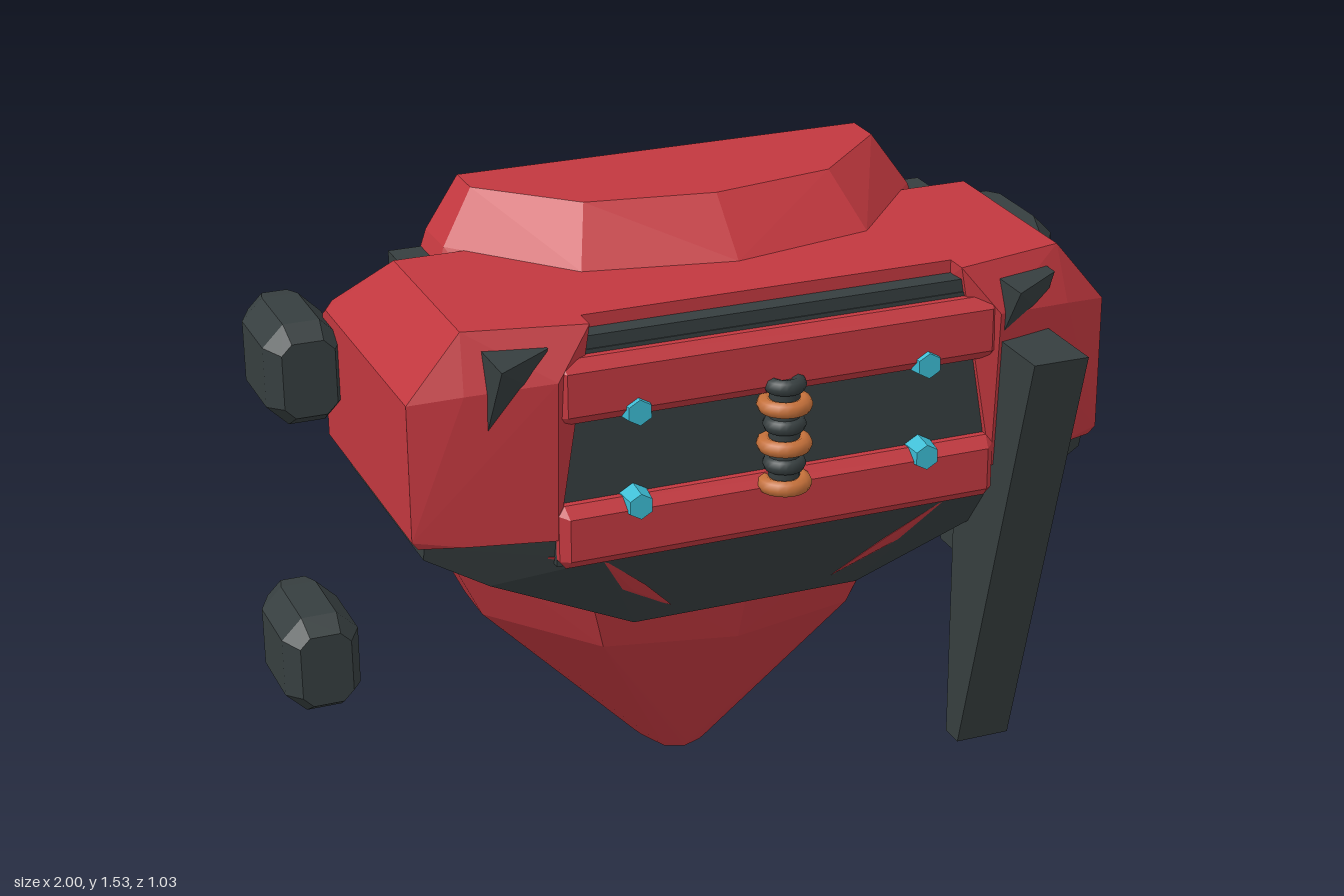
import * as THREE from 'three';
import { ConvexGeometry } from 'three/addons/geometries/ConvexGeometry.js';

const paint = (name, color) => Object.assign(new THREE.MeshStandardMaterial({ color }), { name });

export function createModel() {
  const red = paint('red armour', 0xc2383f);
  const dark = paint('dark grey', 0x363e3f);
  const cyan = paint('cyan bolts', 0x3cbcd4);
  const copper = paint('copper rings', 0xc4703a);

  const model = new THREE.Group();
  const add = (name, geometry, material, x = 0, y = 0, z = 0) => {
    const mesh = new THREE.Mesh(geometry, material);
    mesh.name = name;
    mesh.position.set(x, y, z);
    model.add(mesh);
    return mesh;
  };
  // Faceted solid around a few corner points
  const hull = (points) => new ConvexGeometry(points.map((p) => new THREE.Vector3(...p)));
  const flip = (points, s) => points.map(([x, y, z]) => [x * s, y, z]);
  const both = (points) => [...points, ...flip(points, -1)];

  // Shield-shaped body: D-shaped sections [height, half width, front z]
  const back = -0.373;
  const sections = [
    [0, 0.08, -0.24], [0.02, 0.1, -0.225], [0.47, 0.52, 0.1], [0.78, 0.67, 0.22],
    [1.15, 0.67, 0.25], [1.41, 0.58, 0.1], [1.53, 0.5, -0.03],
  ];
  add('shieldBody', hull(sections.flatMap(([y, w, front]) => {
    const d = front - back;
    return both([[w, y, back], [w, y, back + 0.28 * d], [0.6 * w, y, back + 0.85 * d], [0, y, front]]);
  })), red);

  // Central block: dark core with a red lid
  add('core', new THREE.BoxGeometry(1.05, 0.5, 0.685), dark, 0, 1.1, -0.0175);
  add('coreTopStrip', new THREE.BoxGeometry(0.9, 0.05, 0.4), dark, 0, 1.355, 0.122);
  add('lid', new THREE.BoxGeometry(0.9, 0.08, 0.645), red, 0, 1.37, -0.0475);

  // Front cross bars with bevelled edges
  for (const [name, y] of [['upperBar', 1.265], ['lowerBar', 0.925]]) {
    add(name, hull(both([
      [0.525, y + 0.06, 0.25], [0.525, y - 0.06, 0.25], [0.51, y + 0.078, 0.25], [0.51, y - 0.078, 0.25],
      [0.525, y + 0.055, 0.345], [0.525, y - 0.055, 0.345],
      [0.51, y + 0.075, 0.34], [0.51, y - 0.075, 0.34],
      [0.505, y + 0.05, 0.365], [0.505, y - 0.05, 0.365],
    ])), red);
  }

  // Dark belly plate
  add('belly', hull(both([
    [0.28, 0.585, 0.15], [0.28, 0.585, 0.11], [0.42, 0.85, 0.33], [0.5, 0.92, 0.33],
    [0.805, 0.92, 0.26], [0.805, 0.885, 0.25], [0.66, 0.8, 0.26],
    [0.64, 0.8, -0.26], [0.805, 0.885, -0.3], [0.78, 0.9, -0.37], [0.78, 0.92, -0.37],
  ])), dark);

  const pod = [
    [0.44, 0.92, -0.37], [0.44, 1.27, -0.37], [0.44, 1.41, -0.2],
    [0.44, 1.41, 0.33], [0.525, 1.3, 0.365], [0.525, 0.92, 0.34],
    [0.71, 1.41, -0.2], [0.71, 1.41, 0.27], [0.72, 1.28, 0.315], [0.72, 0.92, 0.295],
    [0.835, 1.26, 0.27], [0.835, 1.24, -0.37], [0.81, 1.27, -0.37], [0.835, 1.26, -0.34],
    [0.835, 0.94, 0.27], [0.82, 0.92, 0.265], [0.835, 0.94, -0.37], [0.82, 0.92, -0.37],
  ];
  const gusset = [
    [0.43, 0.86, 0.336], [0.54, 0.87, 0.31], [0.52, 0.8, 0.268], [0.31, 0.71, 0.24], [0.29, 0.73, 0.252],
    [0.2, 0.63, 0.183], [0.45, 0.85, 0.25], [0.36, 0.74, 0.2],
  ];

  for (const s of [1, -1]) {
    const side = s > 0 ? 'left' : 'right';
    add(side + 'Pod', hull(flip(pod, s)), red);
    add(side + 'Gusset', hull(flip(gusset, s)), red);

    // Strap through the pod, ending in a slanted hook at the front
    const x0 = s > 0 ? 0.537 : -0.672;
    const x1 = x0 + 0.135;
    add(side + 'Strap', new THREE.BoxGeometry(0.135, 0.17, 0.3), dark, x0 + 0.0675, 1.285, -0.221);
    add(side + 'Hook', hull([
      [x0, 1.37, 0.43], [x0, 1.37, 0.2], [x1, 1.37, 0.2], [x1, 1.37, 0.335],
      [x0, 1.16, 0.3], [x0, 1.16, 0.2], [x1, 1.25, 0.28], [x1, 1.25, 0.2],
    ]), dark);

    // Chamfered rear blocks
    for (const [level, y] of [['Upper', 1.14], ['Lower', 0.4]]) {
      const ring = (w, h, z, c) => [-1, 1].flatMap((a) => [-1, 1].flatMap((b) => [
        [a * w, b * (h - c), z], [a * (w - c), b * h, z],
      ]));
      add(side + level + 'Block', hull([
        ...ring(0.062, 0.09, -0.235, 0.025), ...ring(0.0925, 0.122, -0.285, 0.05),
        ...ring(0.0925, 0.122, -0.465, 0.05), ...ring(0.065, 0.115, -0.515, 0.035),
      ]), dark, s * 0.9075, y, 0);
    }

    // Hexagonal bolts
    for (const y of [1.207, 0.985]) {
      add(side + 'Bolt', new THREE.CylinderGeometry(0.03, 0.04, 0.08, 6).toNonIndexed(), cyan, s * 0.345, y, 0.336)
        .rotation.x = Math.PI / 2;
    }
  }
  cyan.flatShading = true;

  // Tapered blade hanging on one side
  const blade = [[0.515, 1.23], [0.15, 1.23], [0.15, 0.13], [0.212, 0.13]];
  add('blade', hull(blade.flatMap(([z, y]) => [[0.533, y, z], [0.668, y, z]])), dark);

  // Stack of alternating rings in the middle of the front
  add('ringCore', new THREE.CylinderGeometry(0.035, 0.035, 0.25, 16), dark, 0, 1.1, 0.36);
  for (let i = 0; i < 6; i++) {
    const isDark = i % 2 === 0;
    add(isDark ? 'darkRing' : 'copperRing', new THREE.TorusGeometry(isDark ? 0.03 : 0.044, 0.019, 8, 20),
      isDark ? dark : copper, 0, 1.215 - i * 0.047, 0.36).rotation.x = Math.PI / 2;
  }
  return model;
}
